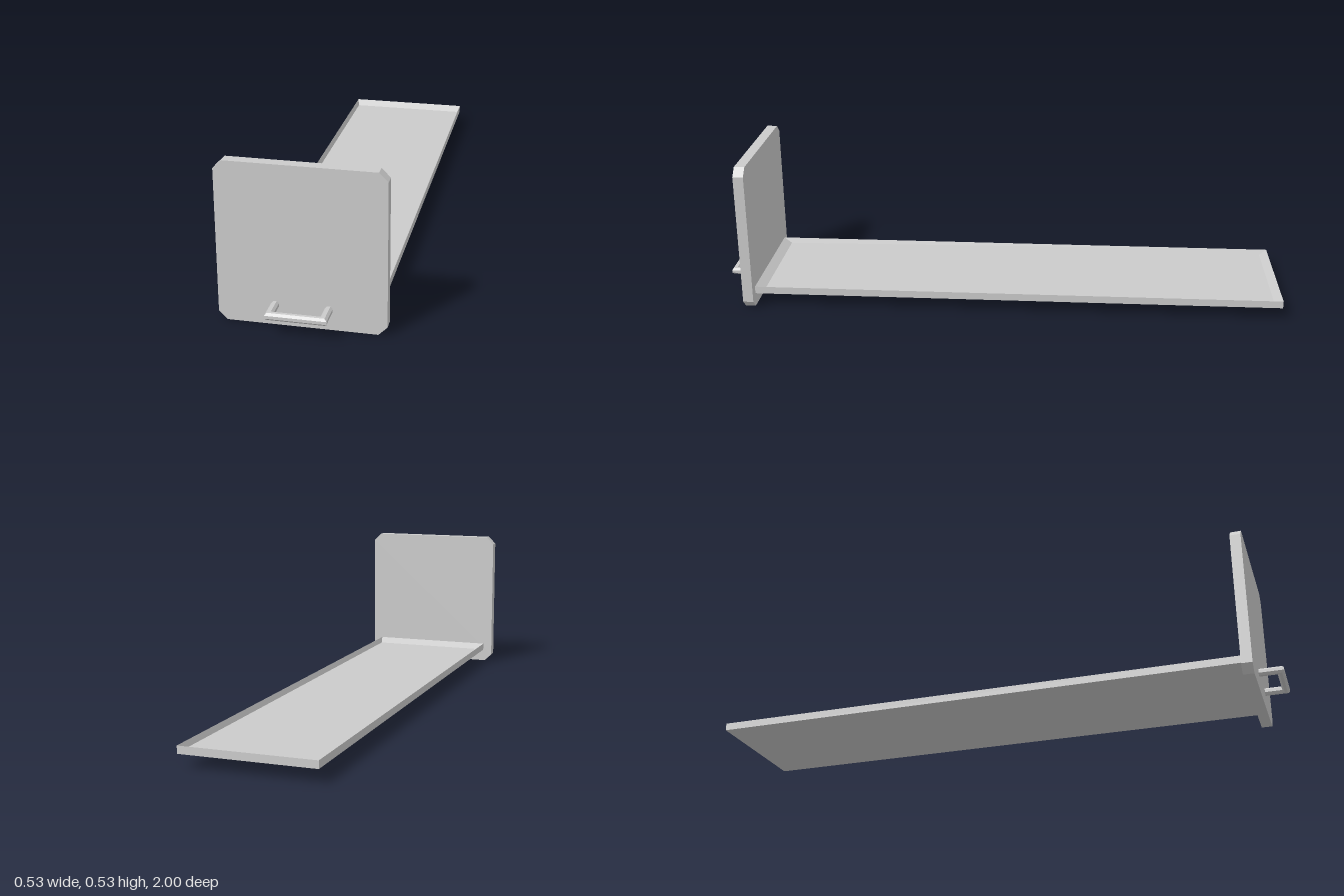
import * as THREE from 'three';

const material = new THREE.MeshStandardMaterial({ color: 0xcccccc, flatShading: true });

// Joins closed rings of equal point count and caps both ends.
function loft(rings) {
  const n = rings[0].length, pos = [];
  const tri = (a, b, c) => pos.push(...a, ...b, ...c);
  for (let r = 0; r < rings.length - 1; r++) {
    const a = rings[r], b = rings[r + 1];
    for (let i = 0; i < n; i++) {
      const j = (i + 1) % n;
      tri(a[i], a[j], b[j]);
      tri(a[i], b[j], b[i]);
    }
  }
  const first = rings[0], last = rings[rings.length - 1];
  for (let i = 1; i < n - 1; i++) {
    tri(first[0], first[i + 1], first[i]);
    tri(last[0], last[i], last[i + 1]);
  }
  const g = new THREE.BufferGeometry();
  g.setAttribute('position', new THREE.Float32BufferAttribute(pos, 3));
  g.computeVertexNormals();
  return g;
}

export function createModel() {
  const group = new THREE.Group();
  const add = (name, geometry) => {
    const mesh = new THREE.Mesh(geometry, material);
    mesh.name = name;
    group.add(mesh);
    return mesh;
  };

  // Square front plate with cut corners
  const h = 0.265, c = 0.028, k = h - c;
  const outline = new THREE.Shape(
    [[k, -h], [h, -k], [h, k], [k, h], [-k, h], [-h, k], [-h, -k], [-k, -h]]
      .map(([x, y]) => new THREE.Vector2(x, y)));
  add('frontPlate', new THREE.ExtrudeGeometry(outline, { depth: 0.037, bevelEnabled: false }))
    .position.set(0, h, 0.88);

  // Long shallow tray whose inner walls slope down to the floor
  const rect = (x, y, back, front) =>
    [[x, y, front], [x, y, back], [-x, y, back], [-x, y, front]];
  add('tray', loft([
    rect(0.23, 0.046, -1, 0.88),
    rect(0.23, 0.072, -1, 0.88),
    rect(0.222, 0.053, -0.973, 0.85),
  ]));

  // Octagonal pull handle with mitred corners
  const radius = 0.012 / Math.cos(Math.PI / 8);
  const ring = (side, corner) => Array.from({ length: 8 }, (_, i) => {
    const a = -(i + 0.5) * Math.PI / 4;
    const out = radius * Math.cos(a);
    return [side * (0.084 + out), 0.068 + radius * Math.sin(a), corner ? 0.988 + out : 0.915];
  });
  add('handle', loft([ring(-1, false), ring(-1, true), ring(1, true), ring(1, false)]));

  return group;
}
